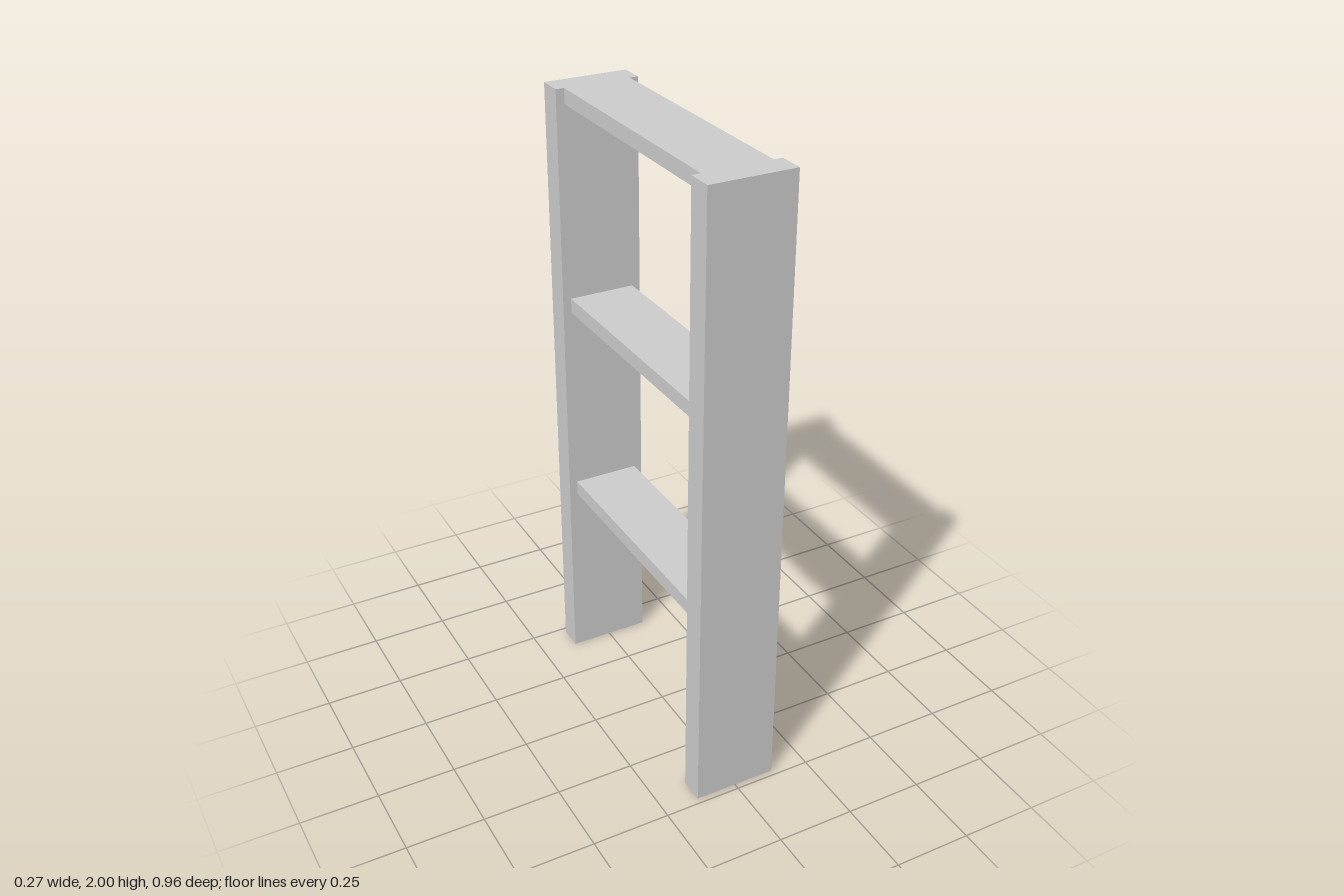
import * as THREE from 'three';

const HEIGHT = 2;
const RAIL_WIDTH = 0.267;
const RAIL_THICKNESS = 0.08;
const INNER_SPAN = 0.8;
const STEP_WIDTH = 0.213;
const STEP_THICKNESS = 0.048;
const STEP_COUNT = 3;

export function createModel() {
  const model = new THREE.Group();
  model.name = 'stepLadder';
  const material = new THREE.MeshStandardMaterial({ color: 0xcccccc, flatShading: true });

  const addBoard = (name, size, position) => {
    const board = new THREE.Mesh(new THREE.BoxGeometry(...size), material);
    board.name = name;
    board.position.set(...position);
    model.add(board);
  };

  // Upright side boards, mirrored front to back
  for (const side of [1, -1]) {
    addBoard(
      side > 0 ? 'frontRail' : 'backRail',
      [RAIL_WIDTH, HEIGHT, RAIL_THICKNESS],
      [0, HEIGHT / 2, side * (INNER_SPAN + RAIL_THICKNESS) / 2]
    );
  }

  // Evenly spaced steps, the last one flush with the top
  for (let i = 1; i <= STEP_COUNT; i++) {
    const top = (HEIGHT * i) / STEP_COUNT;
    addBoard(
      `step${i}`,
      [STEP_WIDTH, STEP_THICKNESS, INNER_SPAN],
      [0, top - STEP_THICKNESS / 2, 0]
    );
  }

  return model;
}
